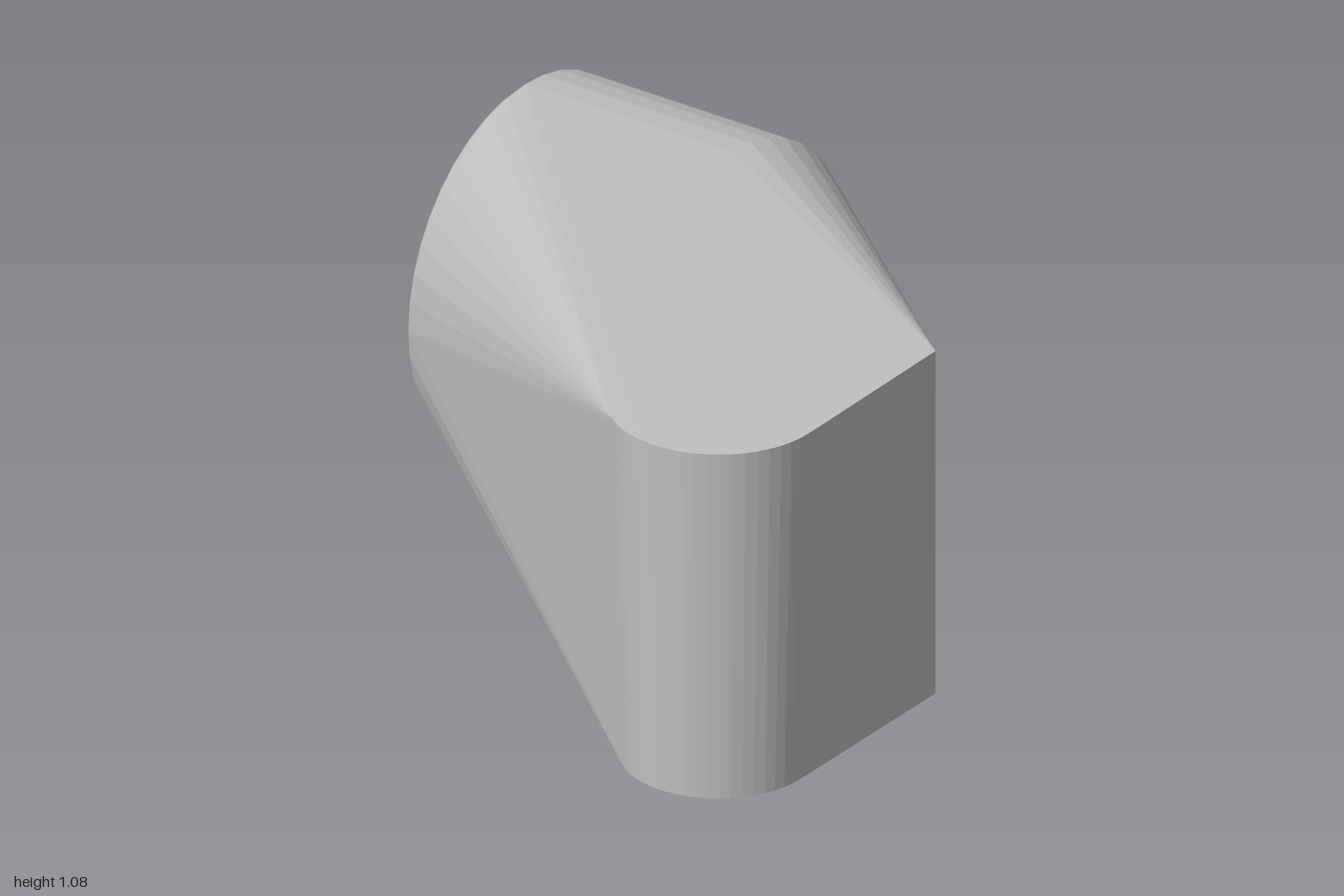
import * as THREE from 'three';
import { ConvexGeometry } from 'three/addons/geometries/ConvexGeometry.js';

export function createModel() {
  const grey = new THREE.MeshStandardMaterial({ color: 0xc0c0c0 });
  grey.name = 'plain grey';
  const points = [];

  // Upright ring in the xy plane, for the round end
  const ring = (cx, r, z, n = 40) => {
    for (let i = 0; i < n; i++) {
      const a = (i / n) * Math.PI * 2;
      points.push(new THREE.Vector3(cx + r * Math.cos(a), 0.55 + r * Math.sin(a), z));
    }
  };
  // Level arc in the xz plane, for the rounded front corner
  const arc = (y, r, n = 20) => {
    for (let i = 0; i <= n; i++) {
      const a = Math.PI / 2 + (i / n) * Math.PI * 0.75;
      points.push(new THREE.Vector3(-0.7 + r * Math.cos(a), y, 0.594 + r * Math.sin(a)));
    }
  };

  // Round end: barrel with a narrow bevelled rim
  ring(0.47, 0.53, -0.19);
  ring(0.47, 0.53, -0.88);
  ring(0.465, 0.517, -0.894);

  // Flat end: tapered rounded corner and one sharp upright edge
  arc(1.06, 0.3);
  arc(0, 0.27);
  points.push(new THREE.Vector3(-0.115, 1.06, 0.894), new THREE.Vector3(-0.115, 0.02, 0.894));

  // The body is the tight skin around both ends
  const body = new THREE.Mesh(new ConvexGeometry(points), grey);
  body.name = 'body';
  const group = new THREE.Group();
  group.name = 'angledBlock';
  group.add(body);
  return group;
}
